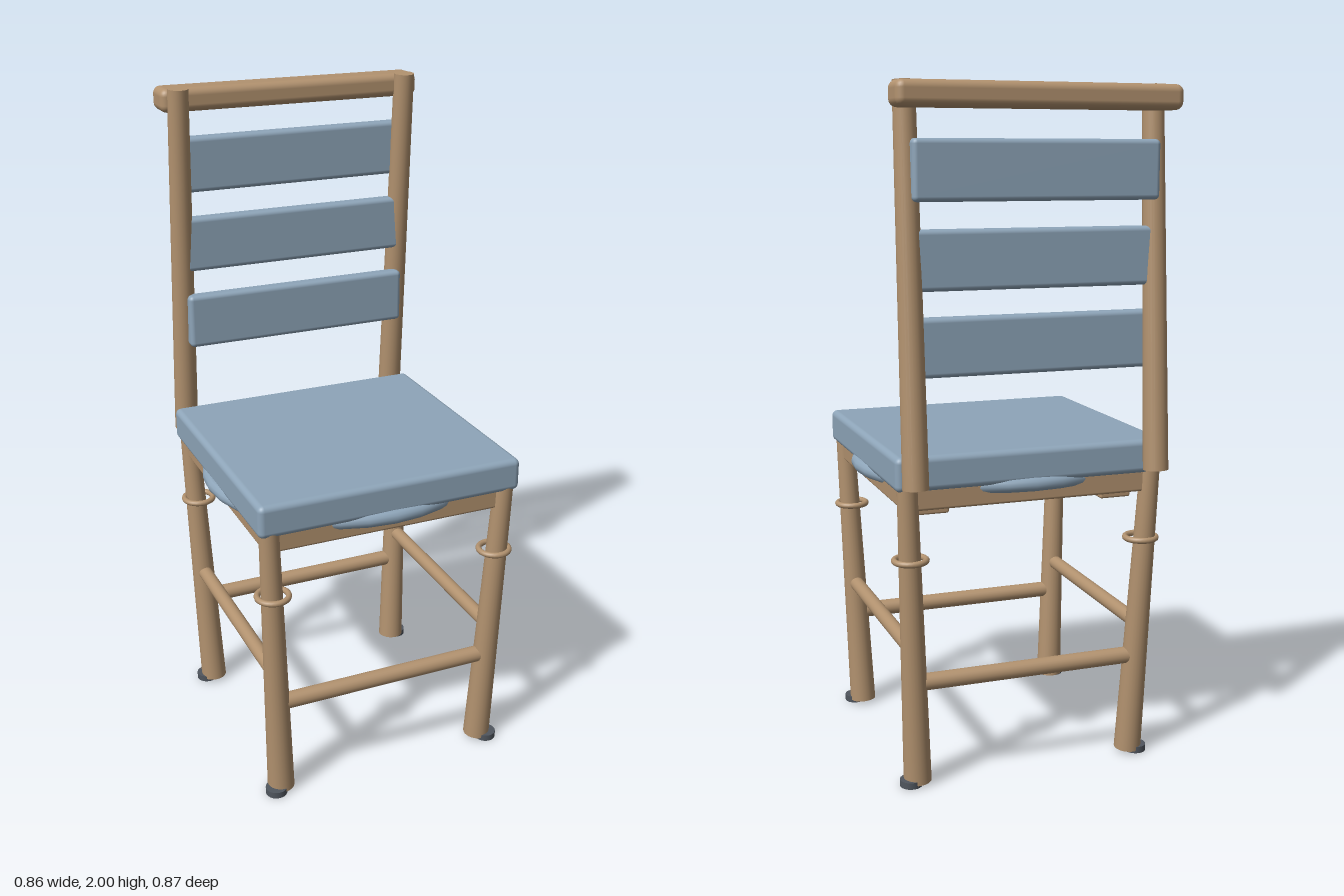
import * as THREE from 'three';
import { RoundedBoxGeometry } from 'three/addons/geometries/RoundedBoxGeometry.js';

const wood = new THREE.MeshStandardMaterial({ color: 0xb2926f });
const blue = new THREE.MeshStandardMaterial({ color: 0x8ea5b9 });
const rubber = new THREE.MeshStandardMaterial({ color: 0x50565e });

export function createModel() {
  const chair = new THREE.Group();
  chair.name = 'chair';

  const add = (name, geometry, material, x = 0, y = 0, z = 0) => {
    const mesh = new THREE.Mesh(geometry, material);
    mesh.name = name;
    mesh.position.set(x, y, z);
    chair.add(mesh);
    return mesh;
  };

  // Box with soft edges, given by its lower and upper corners
  const softBox = (name, material, [x0, y0, z0], [x1, y1, z1], radius) =>
    add(name, new RoundedBoxGeometry(x1 - x0, y1 - y0, z1 - z0, 3, radius), material,
      (x0 + x1) / 2, (y0 + y1) / 2, (z0 + z1) / 2);

  // Round pole between two points, optionally tapered
  const pole = (name, from, to, r0, r1 = r0) => {
    const a = new THREE.Vector3(...from), b = new THREE.Vector3(...to);
    const dir = b.clone().sub(a);
    const mesh = add(name, new THREE.CylinderGeometry(r1, r0, dir.length(), 24), wood);
    mesh.position.copy(a).add(b).multiplyScalar(0.5);
    mesh.quaternion.setFromUnitVectors(new THREE.Vector3(0, 1, 0), dir.normalize());
    return mesh;
  };

  // Seat cushion, piping ring below it and the wooden seat plate
  softBox('seat', blue, [-0.41, 0.893, -0.37], [0.41, 0.993, 0.41], 0.018);
  const piping = add('seatPiping', new THREE.TorusGeometry(0.408, 0.021, 12, 32), blue, 0, 0.888, 0.022);
  piping.rotation.x = Math.PI / 2;
  piping.scale.y = 0.95;
  softBox('seatPlate', wood, [-0.385, 0.835, -0.355], [0.385, 0.9, 0.388], 0.008);

  for (const s of [-1, 1]) {
    const side = s > 0 ? 'left' : 'right';

    // Legs lean inward towards the floor; each has a ring and a foot pad
    for (const [end, zBottom, zRing, zTop, zFoot] of [
      ['Front', 0.347, 0.365, 0.38, 0.366],
      ['Back', -0.3, -0.32, -0.345, -0.308],
    ]) {
      pole(side + end + 'Leg', [s * 0.338, 0.01, zBottom], [s * 0.372, 0.91, zTop], 0.041, 0.029);
      const ring = add(side + end + 'LegRing', new THREE.TorusGeometry(0.046, 0.009, 10, 28), wood,
        s * 0.358, 0.686, zRing);
      ring.rotation.x = Math.PI / 2;
      add(side + end + 'Foot', new THREE.CylinderGeometry(0.033, 0.033, 0.02, 20), rubber,
        s * 0.36, 0.01, zFoot);
    }

    // Side stretcher, corner block and back post
    pole(side + 'Stretcher', [s * 0.354, 0.417, 0.362], [s * 0.354, 0.417, -0.32], 0.022);
    softBox(side + 'CornerBlock', wood,
      [s * 0.283 - 0.048, 0.808, -0.3], [s * 0.283 + 0.048, 0.85, -0.2], 0.006);
    pole(side + 'BackPost', [s * 0.363, 0.91, -0.4], [s * 0.363, 2, -0.327], 0.037, 0.031);
  }

  // Front and back stretchers
  pole('frontStretcher', [-0.35, 0.316, 0.358], [0.35, 0.316, 0.358], 0.025);
  pole('backStretcher', [-0.35, 0.316, -0.315], [0.35, 0.316, -0.315], 0.025);

  // Back slats, stepping backward as they rise
  for (let i = 0; i < 3; i++) {
    const y = 1.206 + i * 0.239, z = -0.335 - i * 0.02;
    softBox('backSlat', blue, [-0.36, y, z - 0.023], [0.36, y + 0.166, z + 0.023], 0.014);
  }

  // Top rail behind the posts
  softBox('topRail', wood, [-0.412, 1.928, -0.434], [0.412, 1.998, -0.333], 0.022);

  return chair;
}
